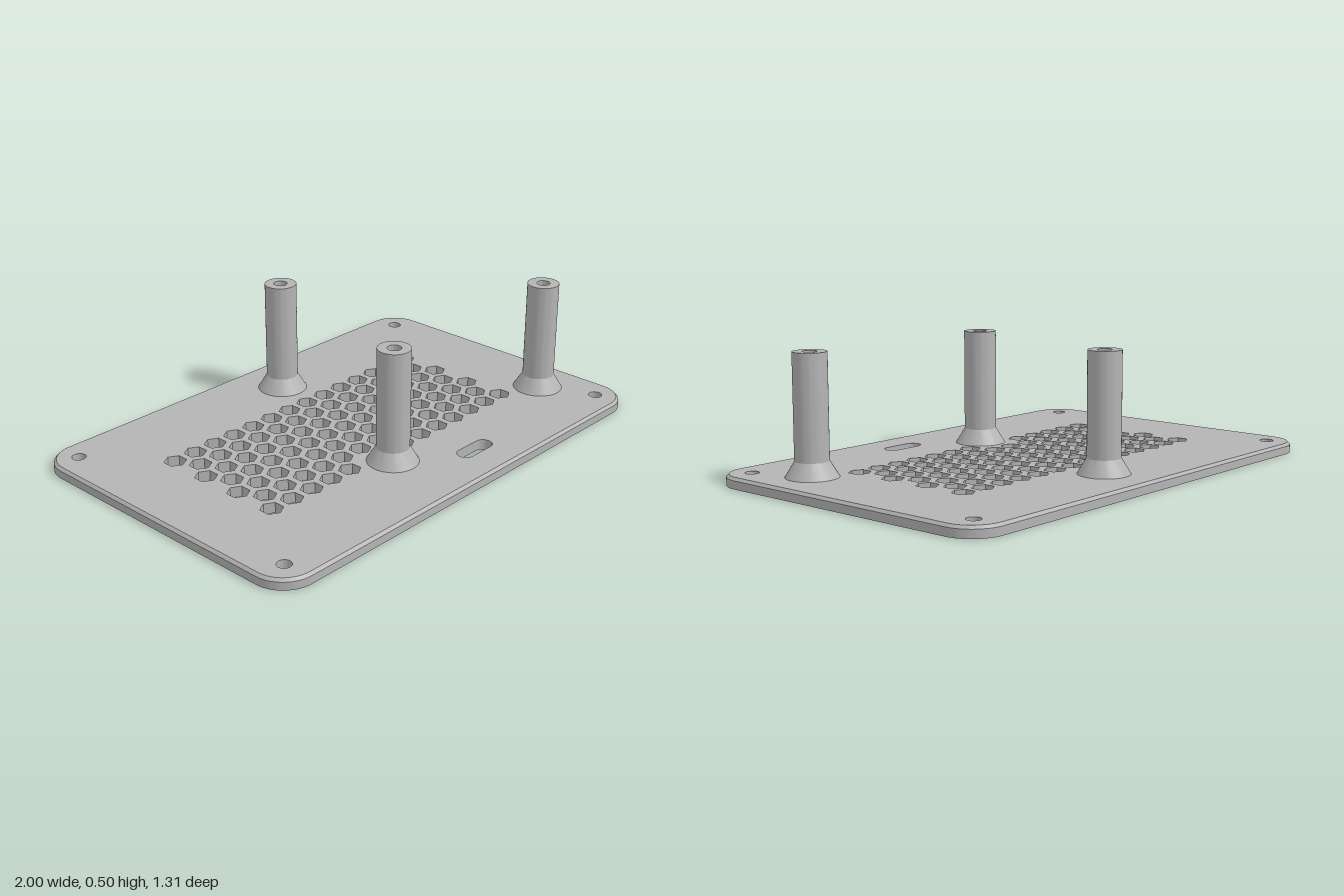
import * as THREE from 'three';
import { toCreasedNormals } from 'three/addons/utils/BufferGeometryUtils.js';

const HALF_X = 1, HALF_Z = 0.655, CORNER = 0.13;
const THICK = 0.042, CHAMFER = 0.0105;
const POSTS = [[0.07, -0.443], [-0.107, 0.327], [0.8, 0.327]];

// Outlines are drawn in (x, -z) and laid flat afterwards
function roundedRect(path, cx, cz, hx, hz, r) {
  const y = -cz;
  path.absarc(cx + hx - r, y + hz - r, r, 0, Math.PI / 2);
  path.absarc(cx - hx + r, y + hz - r, r, Math.PI / 2, Math.PI);
  path.absarc(cx - hx + r, y - hz + r, r, Math.PI, Math.PI * 1.5);
  path.absarc(cx + hx - r, y - hz + r, r, Math.PI * 1.5, Math.PI * 2);
  path.closePath();
  return path;
}

function hexagon(cx, cz, r) {
  const points = [];
  for (let i = 0; i < 6; i++) {
    const a = Math.PI / 6 + i * Math.PI / 3;
    points.push(new THREE.Vector2(cx + r * Math.cos(a), -cz + r * Math.sin(a)));
  }
  return new THREE.Path(points).closePath();
}

function plateGeometry() {
  const shape = roundedRect(new THREE.Shape(), 0, 0, HALF_X, HALF_Z, CORNER);

  // Corner screw holes
  for (const sx of [-1, 1]) for (const sz of [-1, 1]) {
    shape.holes.push(new THREE.Path().absarc(sx * 0.895, sz * 0.551, 0.027, 0, Math.PI * 2));
  }

  // Cable slot
  shape.holes.push(roundedRect(new THREE.Path(), 0.178, 0.491, 0.088, 0.034, 0.0339));

  // Staggered hexagonal vents, left out where a post stands
  for (let row = 0; row < 7; row++) {
    const count = row % 2 ? 13 : 14;
    const z = -0.002 + (row - 3) * 0.0866;
    for (let i = 0; i < count; i++) {
      const x = -0.019 + (i - (count - 1) / 2) * 0.1;
      if (POSTS.some(([px, pz]) => Math.hypot(px - x, pz - z) < 0.12)) continue;
      shape.holes.push(hexagon(x, z, 0.0433));
    }
  }

  const geometry = new THREE.ExtrudeGeometry(shape, {
    depth: THICK, steps: 4, bevelEnabled: false, curveSegments: 12,
  });

  // Pull the upper outer rim inward to form the chamfer
  const pos = geometry.attributes.position;
  for (let i = 0; i < pos.count; i++) {
    if (pos.getZ(i) < THICK - 1e-4) continue;
    const x = pos.getX(i), y = pos.getY(i);
    const dx = Math.max(Math.abs(x) - HALF_X + CORNER, 0);
    const dy = Math.max(Math.abs(y) - HALF_Z + CORNER, 0);
    const d = Math.hypot(dx, dy);
    if (d < CORNER - 1e-3) continue;
    pos.setX(i, x - Math.sign(x) * CHAMFER * dx / d);
    pos.setY(i, y - Math.sign(y) * CHAMFER * dy / d);
  }
  geometry.rotateX(-Math.PI / 2);
  return toCreasedNormals(geometry, 0.5);
}

// Flared post with a blind bore in its top
function postGeometry() {
  const profile = [
    [0.1, THICK], [0.064, 0.102], [0.064, 0.5], [0.027, 0.5], [0.027, 0.044], [0, 0.044],
  ].map(([r, y]) => new THREE.Vector2(r, y));
  return toCreasedNormals(new THREE.LatheGeometry(profile, 48), 0.4);
}

export function createModel() {
  const group = new THREE.Group();
  group.name = 'ventedMountingPlate';
  const grey = new THREE.MeshStandardMaterial({ color: 0xb4b4b4 });
  grey.name = 'grey';

  const plate = new THREE.Mesh(plateGeometry(), grey);
  plate.name = 'plate';
  group.add(plate);

  const postGeo = postGeometry();
  ['backPost', 'frontMiddlePost', 'frontLeftPost'].forEach((name, i) => {
    const post = new THREE.Mesh(postGeo, grey);
    post.name = name;
    post.position.set(POSTS[i][0], 0, POSTS[i][1]);
    group.add(post);
  });
  return group;
}
